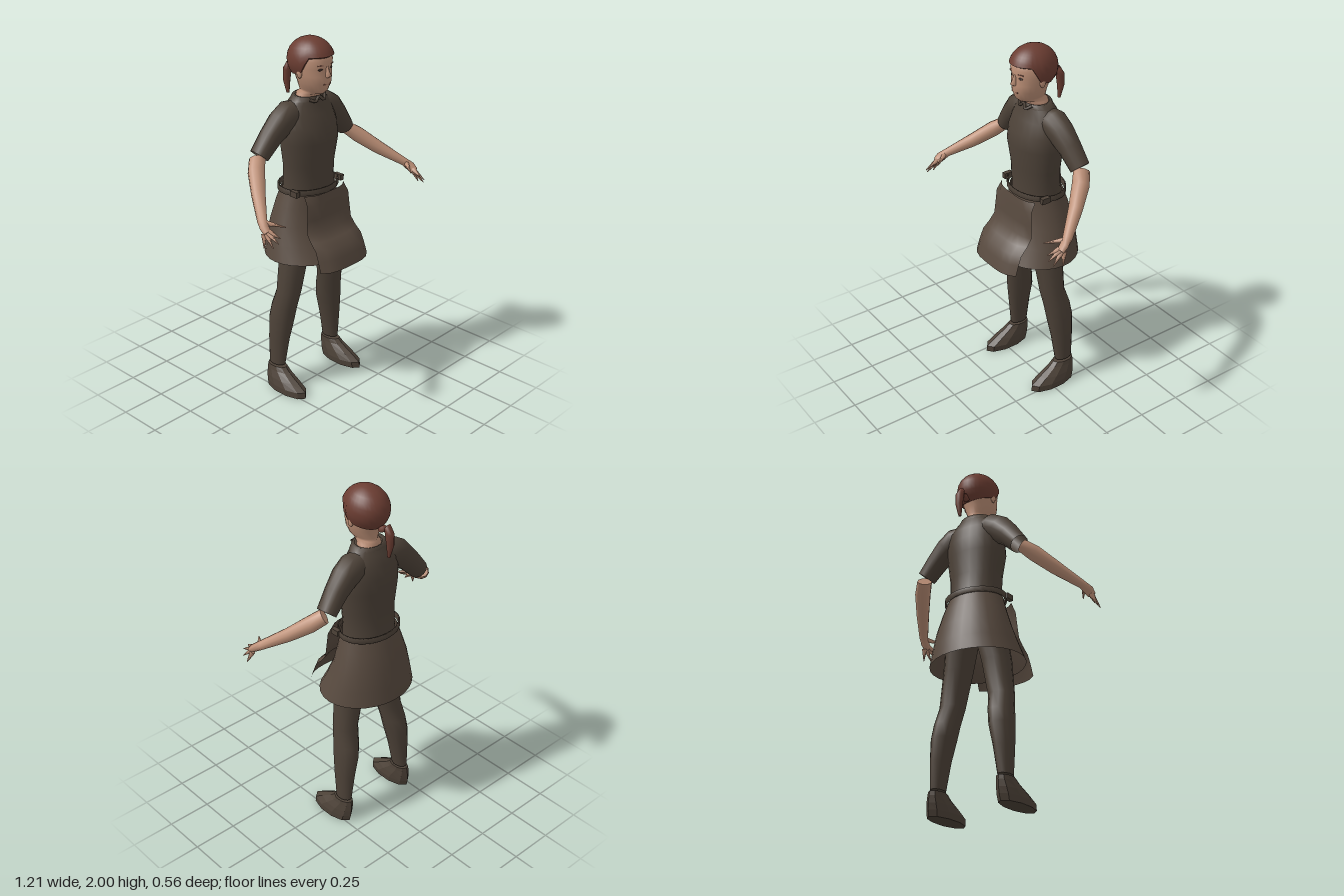
import * as THREE from 'three';

const mat = (name, color, double) => {
  const m = new THREE.MeshStandardMaterial({ color });
  m.name = name;
  if (double) m.side = THREE.DoubleSide;
  return m;
};

// Skin a stack of rings; each ring runs counter-clockwise about the stacking direction
function loft(rings, { cap = true, flat = false, closed = true } = {}) {
  const n = rings[0].length, pos = [], idx = [];
  rings.forEach(r => r.forEach(p => pos.push(...p)));
  const cols = closed ? n : n - 1;
  for (let k = 0; k < rings.length - 1; k++) {
    for (let i = 0; i < cols; i++) {
      const j = (i + 1) % n, a = k * n + i, b = k * n + j;
      idx.push(a, b, a + n, b, b + n, a + n);
    }
  }
  if (cap) {
    [rings[0], rings[rings.length - 1]].forEach((r, e) => {
      const base = pos.length / 3;
      r.forEach(p => pos.push(...p));
      pos.push(...[0, 1, 2].map(c => r.reduce((s, p) => s + p[c], 0) / n));
      for (let i = 0; i < n; i++) {
        const a = base + i, b = base + (i + 1) % n;
        if (e) idx.push(a, b, base + n); else idx.push(b, a, base + n);
      }
    });
  }
  let g = new THREE.BufferGeometry();
  g.setAttribute('position', new THREE.Float32BufferAttribute(pos, 3));
  g.setIndex(idx);
  if (flat) g = g.toNonIndexed();
  g.computeVertexNormals();
  return g;
}

// Horizontal oval from [y, half width, front z, back z, centre x]
const oval = (n, side = 1) => ([y, rx, zf, zb, cx = 0]) =>
  Array.from({ length: n }, (_, i) => {
    const a = i / n * Math.PI * 2;
    return [cx * side + rx * Math.sin(a), y, (zf + zb) / 2 + (zf - zb) / 2 * Math.cos(a)];
  });

// Tapered limb through [x, y, z, radius across, radius front to back]
function limb(pts, side, n, opts) {
  const v = pts.map(p => new THREE.Vector3(p[0] * side, p[1], p[2]));
  return loft(pts.map((p, k) => {
    const t = v[Math.min(k + 1, v.length - 1)].clone().sub(v[Math.max(k - 1, 0)]).normalize();
    const b = new THREE.Vector3(0, 0, 1).addScaledVector(t, -t.z).normalize();
    const a = b.clone().cross(t);
    return Array.from({ length: n }, (_, i) => {
      const w = i / n * Math.PI * 2;
      return v[k].clone().addScaledVector(a, Math.cos(w) * p[3])
        .addScaledVector(b, Math.sin(w) * (p[4] ?? p[3])).toArray();
    });
  }), opts);
}

export function createModel() {
  const model = new THREE.Group();
  model.name = 'figure';
  const skin = mat('skin', 0xbd9077), hair = mat('auburn hair', 0x6b3d32);
  const tunic = mat('dark brown cloth', 0x4d4238, true), skirt = mat('brown cloth', 0x584a3f, true);
  const dark = mat('dark eye', 0x3a2a24), lip = mat('lip', 0x87594a);
  const add = (name, geometry, material) => {
    const m = new THREE.Mesh(geometry, material);
    m.name = name;
    model.add(m);
    return m;
  };

  // Head and neck
  add('head', loft([
    [1.64, .075, 0, -.13], [1.7, .064, -.008, -.125], [1.71, .045, .04, -.115], [1.728, .06, .06, -.115],
    [1.77, .08, .074, -.12], [1.81, .091, .076, -.135], [1.85, .097, .07, -.15],
    [1.89, .1, .078, -.155], [1.94, .085, .058, -.14], [1.975, .04, .01, -.09],
  ].map(oval(24))), skin);
  add('nose', loft([
    [1.803, .012, .08, .055], [1.812, .018, .095, .055], [1.835, .011, .085, .055], [1.865, .007, .074, .055],
  ].map(oval(8))), skin);
  add('mouth', new THREE.BoxGeometry(.05, .007, .008).translate(0, 1.768, .068), lip);
  for (const s of [-1, 1]) {
    const eye = add('eye', new THREE.SphereGeometry(1, 10, 6), dark);
    eye.scale.set(.014, .006, .004);
    eye.position.set(s * .04, 1.848, .06);
    eye.rotation.y = s * .4;
    const brow = add('eyebrow', new THREE.BoxGeometry(.032, .005, .006), lip);
    brow.position.set(s * .042, 1.87, .063);
    brow.rotation.y = s * .4;
    const ear = add('ear', new THREE.SphereGeometry(1, 10, 8), skin);
    ear.scale.set(.01, .028, .018);
    ear.position.set(s * .096, 1.825, -.035);
  }

  // Hair cap with a hairline that drops behind the temples
  const hairRings = [];
  for (let k = 0; k <= 9; k++) {
    hairRings.push(Array.from({ length: 32 }, (_, i) => {
      const a = i / 32 * Math.PI * 2, c = Math.cos(a);
      const edge = 1.825 + .09 * THREE.MathUtils.smoothstep(c, .15, .6) - .03 * Math.max(0, .15 - c);
      const e = THREE.MathUtils.lerp(Math.asin((edge - 1.88) / .12), Math.PI / 2 - .001, k / 9);
      return [.115 * Math.cos(e) * Math.sin(a), 1.88 + .12 * Math.sin(e), -.045 + .135 * Math.cos(e) * c];
    }));
  }
  add('hair', loft(hairRings), hair);
  add('ponytail', limb([
    [0, 1.79, -.15, .015], [0, 1.81, -.18, .018], [0, 1.825, -.2, .02], [0, 1.79, -.217, .024],
    [0, 1.73, -.222, .02], [0, 1.66, -.213, .008],
  ], 1, 10), hair);

  // Tunic body, collar and neck tie
  add('tunicBody', loft([
    [1.14, .155, .055, -.195], [1.22, .15, .055, -.188], [1.32, .158, .055, -.18], [1.45, .178, .073, -.19],
    [1.53, .178, .06, -.19], [1.6, .165, .03, -.178], [1.65, .135, .01, -.155], [1.685, .1, .003, -.138],
  ].map(oval(24))), tunic);
  add('collar', loft([[1.67, .115, .012, -.145], [1.695, .095, .01, -.138], [1.69, .075, .002, -.128]]
    .map(oval(20)), { cap: false }), tunic);
  const tie = new THREE.CatmullRomCurve3([[-.06, 1.68, .0], [-.03, 1.67, .018], [.0, 1.69, .012],
    [.025, 1.67, .025], [.055, 1.69, .0]].map(p => new THREE.Vector3(...p)));
  add('neckTie', new THREE.TubeGeometry(tie, 16, .008, 6), tunic);

  // Belt, skirt and front apron
  add('belt', loft([[1.172, .174, .07, -.205], [1.172, .183, .078, -.214], [1.202, .183, .078, -.214],
    [1.202, .174, .07, -.205], [1.172, .174, .07, -.205]].map(oval(24)), { cap: false }), tunic);
  add('skirt', loft([
    [.81, .275, .18, -.28], [.9, .25, .13, -.268], [1, .222, .085, -.25], [1.1, .19, .068, -.225],
    [1.18, .165, .06, -.198],
  ].map(oval(28)), { cap: false }), skirt);
  // Each apron row: y, half width, z at the middle, z at the edge
  add('apron', loft([
    [.79, .185, .248, .2], [.85, .183, .228, .18], [.9, .18, .205, .16], [.94, .176, .165, .12],
    [.98, .173, .118, .09], [1.05, .167, .108, .085], [1.13, .16, .1, .08], [1.18, .153, .09, .05],
  ].map(([y, w, zm, ze]) => Array.from({ length: 9 }, (_, i) => {
    const u = i / 4 - 1;
    return [u * w, y, zm + (ze - zm) * u ** 4];
  })), { cap: false, closed: false }), skirt);

  for (const s of [-1, 1]) {
    const n = s > 0 ? 'left' : 'right';
    // Belt loop
    const loop = add(n + 'BeltLoop', new THREE.BoxGeometry(.025, .032, .05), tunic);
    loop.position.set(s * .172, 1.188, .0);

    // Arm
    add(n + 'Sleeve', limb([
      [.06, 1.6, -.08, .07, .06], [.13, 1.595, -.083, .082, .075], [.185, 1.565, -.087, .077, .068],
      [.25, 1.505, -.095, .064, .06], [.325, 1.418, -.105, .052, .054],
    ], s, 14, { cap: false }), tunic);
    add(n + 'Forearm', limb([
      [.34, 1.405, -.105, .035, .045], [.39, 1.36, -.06, .043, .046], [.465, 1.285, .03, .037, .037],
      [.553, 1.205, .145, .023, .026], [.57, 1.18, .18, .028, .022], [.573, 1.16, .205, .024, .018],
    ], s, 10), skin);
    // Thumb and fingers as tapered spikes
    [[.49, 1.18, .25], [.55, 1.145, .268], [.572, 1.125, .278], [.59, 1.1, .26], [.605, 1.09, .21]]
      .forEach(([x, y, z], i) => {
        const from = i ? [.562 + i * .005, 1.172 - i * .004, .212 - i * .006] : [.555, 1.2, .16];
        add(n + (i ? 'Finger' : 'Thumb'), limb([[...from, .016], [x, y, z, .002]], s, 6), skin);
      });

    // Leg and boot
    add(n + 'Leg', loft([
      [.145, .034, -.05, -.155, .218], [.3, .051, -.033, -.163, .206], [.42, .064, -.015, -.17, .19],
      [.5, .067, -.005, -.158, .179], [.6, .07, .012, -.128, .163], [.8, .08, .03, -.135, .13],
      [.95, .085, .038, -.155, .1], [1.1, .085, .035, -.165, .08],
    ].map(oval(14, s))), tunic);
    add(n + 'Boot', loft([
      [0, .058, .125, -.16, .228], [.035, .06, .122, -.168, .226], [.07, .054, .065, -.17, .224],
      [.11, .043, -.005, -.168, .221], [.134, .039, -.035, -.164, .219],
    ].map(oval(10, s)), { flat: true }), tunic);
  }
  return model;
}
